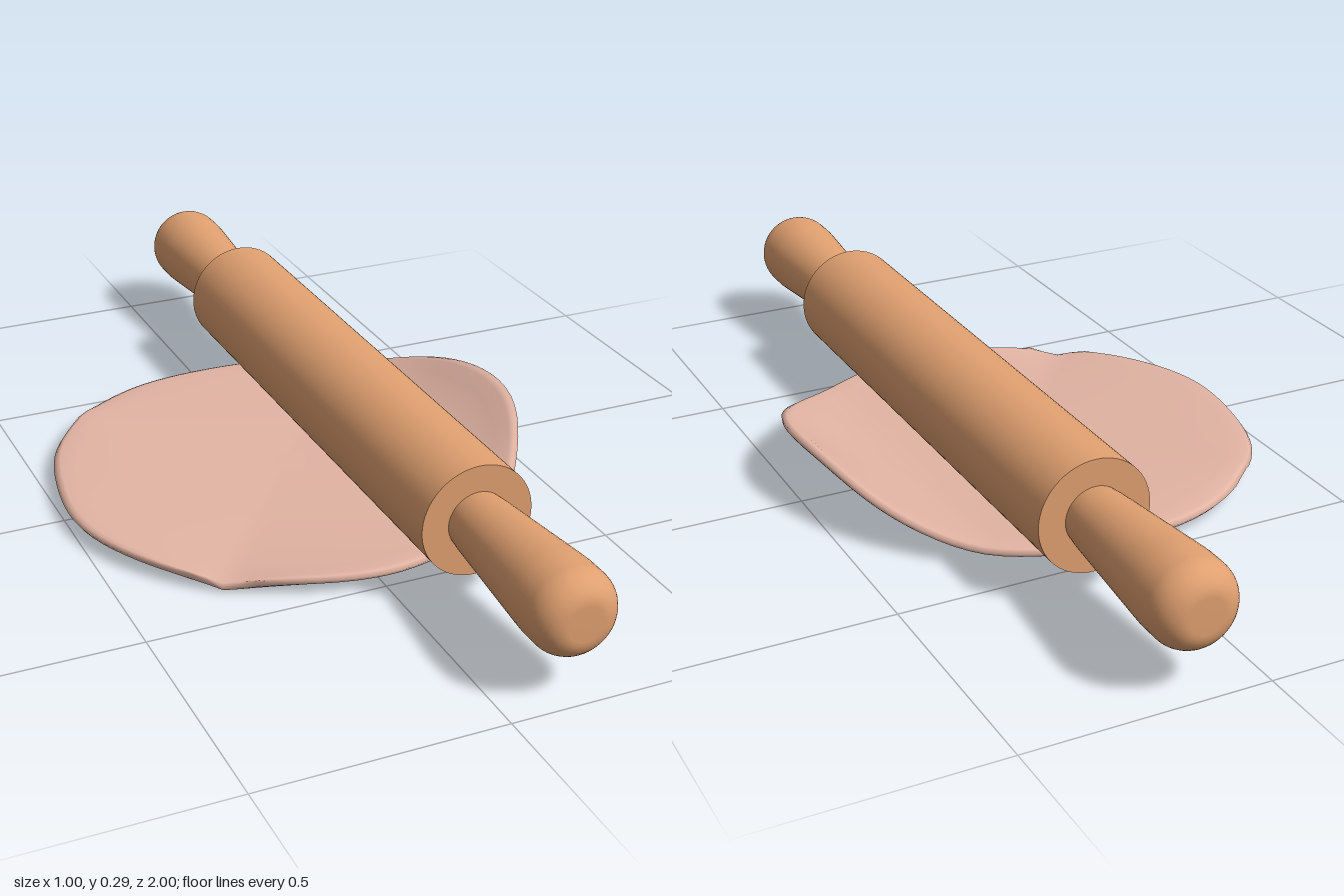
import * as THREE from 'three';
import { mergeVertices } from 'three/addons/utils/BufferGeometryUtils.js';

const wood = new THREE.MeshStandardMaterial({ color: 0xe0a070 });
const doughColor = new THREE.MeshStandardMaterial({ color: 0xe2b4a4 });

function named(name, geometry, material) {
  const mesh = new THREE.Mesh(geometry, material);
  mesh.name = name;
  return mesh;
}

// Crease that is deepest at the rim in direction (dx, dz) and fades to the other rim and both sides
function crease(x, z, dx, dz) {
  const u = x * dx + z * dz;
  const v = x * dz - z * dx;
  const half = Math.sqrt(Math.max(0.25 - u * u, 0.003));
  return Math.max(0, 0.5 + u) * Math.max(0, 1 - Math.abs(v) / half);
}

// Thin round sheet with a slightly wavy outline, one curled side and two shallow creases
function doughGeometry() {
  const radii = [0, 0.06, 0.12, 0.18, 0.24, 0.29, 0.34, 0.38, 0.42, 0.455, 0.485];
  const bottom = radii.map((r) => new THREE.Vector2(r, 0.025));
  const top = radii.map((r) => new THREE.Vector2(r, 0.047)).reverse();
  const rim = [[0.494, 0.028], [0.5, 0.036], [0.494, 0.044]].map(([r, y]) => new THREE.Vector2(r, y));
  let geometry = new THREE.LatheGeometry([...bottom, ...rim, ...top], 96);
  const pos = geometry.attributes.position;
  for (let i = 0; i < pos.count; i++) {
    let x = pos.getX(i), y = pos.getY(i), z = pos.getZ(i);
    const a = Math.atan2(z, x);
    const r = Math.hypot(x, z) / 0.5;
    const wobble = 1 + r * r * (0.007 * Math.sin(5 * a + 0.6) + 0.005 * Math.sin(9 * a));
    // Curl of the +x side, sheet thickness kept along the slope
    const t = Math.max(0, (x - 0.25) / 0.25);
    const slope = 0.115 * 1.9 * Math.pow(t, 0.9) / 0.25;
    const lift = 0.115 * Math.pow(t, 1.9);
    const off = y - 0.036;
    const s = Math.hypot(1, slope);
    y = 0.036 + lift + off / s;
    y += 0.012 * crease(x, z, -0.69, -0.724) - 0.023 * crease(x, z, -0.6, 0.8);
    x = x * wobble - off * slope / s;
    pos.setXYZ(i, x, y, z * wobble);
  }
  geometry.deleteAttribute('normal');
  geometry.deleteAttribute('uv');
  geometry = mergeVertices(geometry, 1e-5);
  geometry.computeVertexNormals();
  return geometry;
}

// Flared grip with a rounded end
function handleGeometry() {
  const points = [[0.062, 0], [0.066, 0.03], [0.086, 0.27], [0.088, 0.3]].map(([r, y]) => new THREE.Vector2(r, y));
  for (let i = 0; i <= 10; i++) {
    const a = (i / 10) * Math.PI / 2;
    points.push(new THREE.Vector2(0.036 + 0.052 * Math.cos(a), 0.342 + 0.058 * Math.sin(a)));
  }
  points.push(new THREE.Vector2(0, 0.4));
  return new THREE.LatheGeometry(points, 48);
}

export function createModel() {
  const model = new THREE.Group();
  model.name = 'rollingPinOnDough';

  model.add(named('dough', doughGeometry(), doughColor));

  // Rolling pin lies along z
  const pin = new THREE.Group();
  pin.name = 'rollingPin';
  pin.position.set(0.14, 0.172, 0);
  const barrel = named('barrel', new THREE.CylinderGeometry(0.118, 0.118, 1.2, 64), wood);
  barrel.rotation.x = Math.PI / 2;
  pin.add(barrel);
  for (const side of [1, -1]) {
    const handle = named(side > 0 ? 'frontHandle' : 'backHandle', handleGeometry(), wood);
    handle.rotation.x = side * Math.PI / 2;
    handle.position.z = side * 0.6;
    pin.add(handle);
  }
  model.add(pin);
  return model;
}
